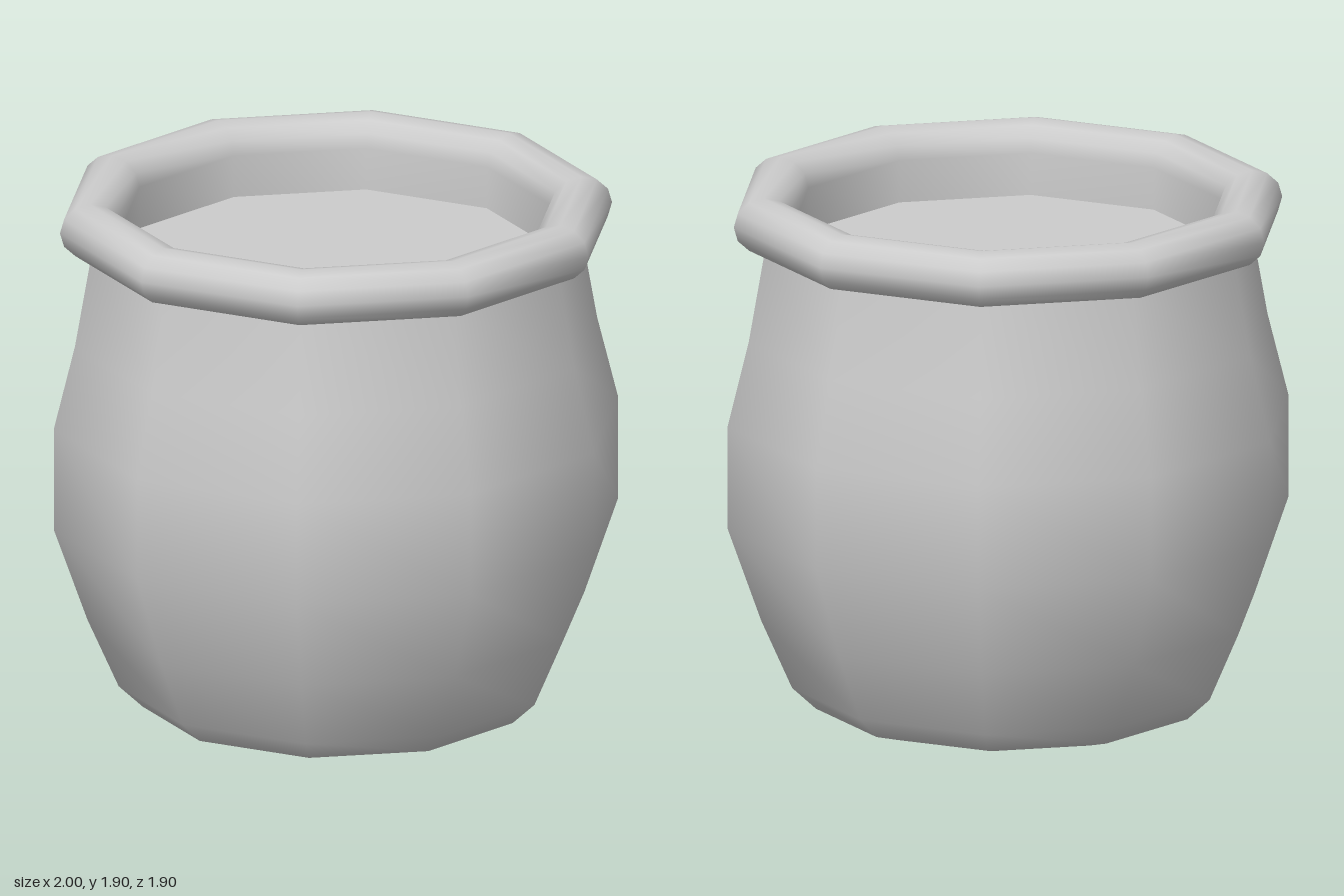
import * as THREE from 'three';

const SIDES = 10;
const material = new THREE.MeshStandardMaterial({ color: 0xcccccc });

// Ten-sided turned part with one corner on the +x axis
function turned(name, profile) {
  const points = profile.map(([r, y]) => new THREE.Vector2(r, y));
  const mesh = new THREE.Mesh(new THREE.LatheGeometry(points, SIDES, Math.PI / 2), material);
  mesh.name = name;
  return mesh;
}

export function createModel() {
  const pot = new THREE.Group();
  pot.name = 'pot';

  // Bulging body with a rounded, closed base
  pot.add(turned('body', [
    [0, 0], [0.57, 0.005], [0.685, 0.04], [0.77, 0.12], [0.88, 0.37],
    [1, 0.71], [1, 1.08], [0.925, 1.38], [0.865, 1.72],
  ]));

  // Rolled rim, running down inside as a short straight wall
  const rim = [];
  for (let i = 0; i <= 9; i++) {
    const a = -Math.PI / 2 + (i * Math.PI) / 6;
    rim.push([0.87 + 0.108 * Math.cos(a), 1.8 + 0.1 * Math.sin(a)]);
  }
  rim.push([0.758, 1.64]);
  pot.add(turned('rim', rim));

  // Flat surface of the contents just below the rim
  const contents = new THREE.Mesh(new THREE.CircleGeometry(0.765, SIDES), material);
  contents.name = 'contents';
  contents.rotation.x = -Math.PI / 2;
  contents.position.y = 1.65;
  pot.add(contents);

  return pot;
}
